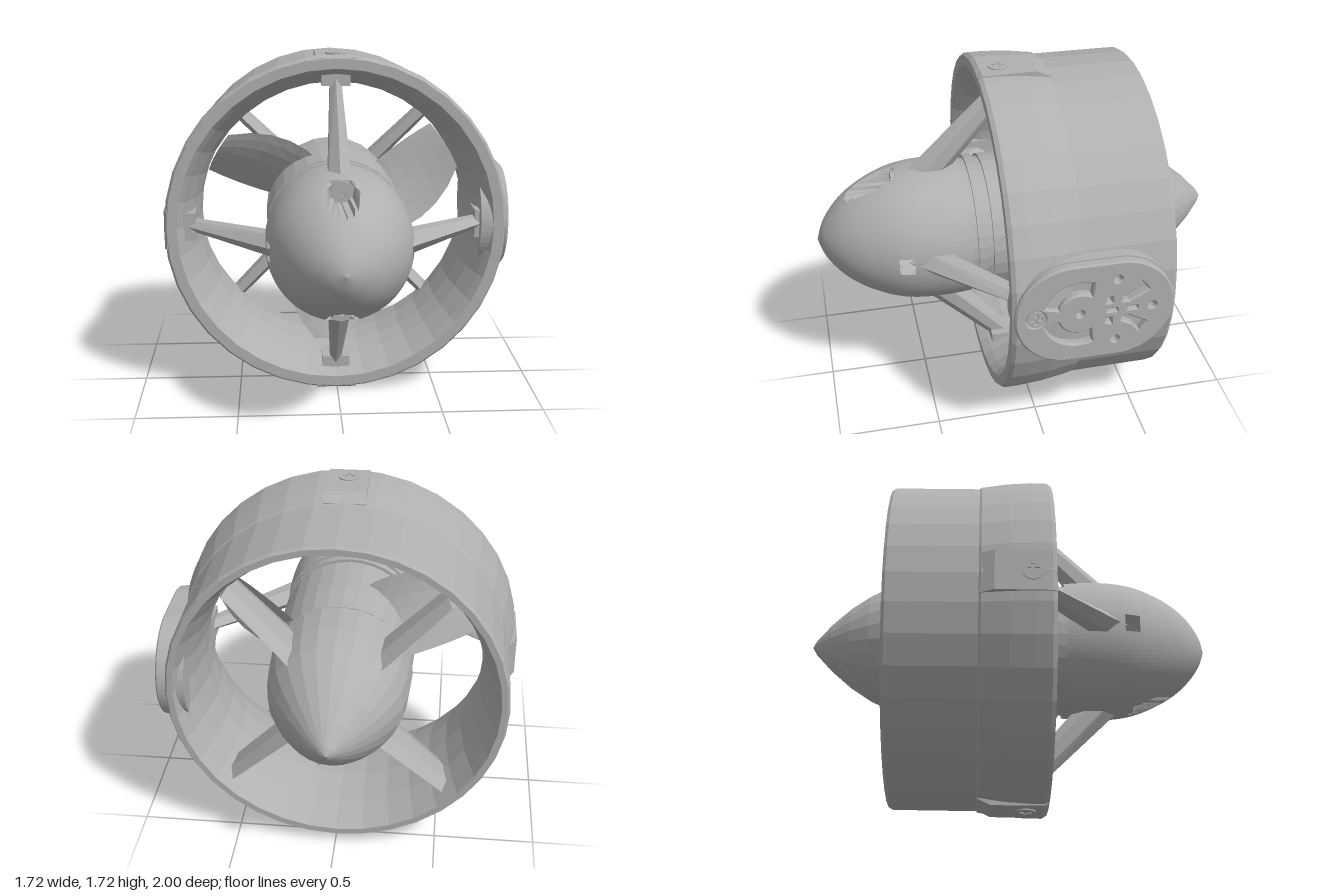
import * as THREE from 'three';
import { ConvexGeometry } from 'three/addons/geometries/ConvexGeometry.js';
import { ParametricGeometry } from 'three/addons/geometries/ParametricGeometry.js';

const V2 = (p) => new THREE.Vector2(p[0], p[1]);
const V3 = (p) => new THREE.Vector3(...p);

export function createModel() {
  const model = new THREE.Group();
  model.name = 'ductedThruster';
  const body = new THREE.Group();
  body.name = 'thrusterBody';
  body.position.set(-0.005, 0.855, 0);
  model.add(body);

  // side: DoubleSide serves the thin blades and the pierced nose shell
  const grey = new THREE.MeshStandardMaterial({ color: 0xb0b0b0, side: THREE.DoubleSide });
  grey.name = 'plainGrey';

  const add = (name, geometry, parent = body) => {
    const g = geometry.index ? geometry.toNonIndexed() : geometry;
    g.computeVertexNormals(); // faceted look
    const mesh = new THREE.Mesh(g, grey);
    mesh.name = name;
    parent.add(mesh);
    return mesh;
  };
  // Revolved profile of [radius, z] points around the z axis
  const spin = (points, sides) =>
    new THREE.LatheGeometry(points.map(V2), sides).rotateX(Math.PI / 2);
  // Group whose +y points outward at the given turn about the axis
  const spoke = (name, angle) => {
    const g = new THREE.Group();
    g.name = name;
    g.rotation.z = angle;
    body.add(g);
    return g;
  };
  const polygon = (points) => new THREE.Path(points.map(V2));
  const circle = (x, y, r) => new THREE.Path().absarc(x, y, r, 0, Math.PI * 2, true);

  // Screw head lying in the xy plane, facing +z
  const screw = (name, parent, r, slot) => {
    const head = new THREE.Group();
    head.name = name;
    const s = new THREE.Shape().absarc(0, 0, r, 0, Math.PI * 2, false);
    s.holes.push(slot);
    add('screwRim', new THREE.ExtrudeGeometry(s, { depth: 0.018, bevelEnabled: false, curveSegments: 10 }), head);
    add('screwBase', new THREE.CylinderGeometry(r, r, 0.02, 20).rotateX(Math.PI / 2), head)
      .position.z = -0.008;
    parent.add(head);
    return head;
  };
  const a = 0.009, b = 0.03;
  const crossSlot = () => polygon([[a, a], [a, b], [-a, b], [-a, a], [-b, a], [-b, -a],
    [-a, -a], [-a, -b], [a, -b], [a, -a], [b, -a], [b, a]]);
  const hexSlot = () => polygon([0, 1, 2, 3, 4, 5].map((i) =>
    [0.025 * Math.cos(-i * Math.PI / 3), 0.025 * Math.sin(-i * Math.PI / 3)]));

  // Duct: flared front band, straight rear band, narrowed throat
  add('duct', spin([[0.775, -0.59], [0.805, -0.59], [0.815, -0.575], [0.818, -0.16], [0.826, -0.15],
    [0.845, -0.02], [0.853, 0.1], [0.853, 0.17], [0.84, 0.19], [0.79, 0.19], [0.765, 0.15],
    [0.72, 0.04], [0.695, -0.08], [0.69, -0.25], [0.715, -0.42], [0.755, -0.54], [0.775, -0.59]], 36));

  // Nose shell with two screw pockets and two side slots
  const nosePath = new THREE.SplineCurve([[0.345, 0.27], [0.353, 0.4], [0.347, 0.54], [0.32, 0.66],
    [0.26, 0.79], [0.185, 0.89], [0.09, 0.965], [0, 1]].map(V2));
  const nose = new THREE.LatheGeometry(nosePath.getPoints(56).map((p) => p.setX(Math.max(p.x, 0))), 96)
    .rotateX(Math.PI / 2);
  const np = nose.attributes.position;
  const kept = [];
  for (let i = 0; i < nose.index.count; i += 3) {
    const tri = [0, 1, 2].map((k) => nose.index.getX(i + k));
    const inSlot = tri.every((v) => Math.abs(np.getY(v)) < 0.047 && np.getZ(v) > 0.545 && np.getZ(v) < 0.635);
    if (!inSlot) kept.push(...tri);
  }
  nose.setIndex(kept);
  for (let i = 0; i < np.count; i++) {
    const x = np.getX(i), dy = Math.abs(np.getY(i)) - 0.285;
    const inPocket = Math.hypot(x, dy) < 0.062 || (dy > 0 && Math.abs(x) < 0.062);
    if (inPocket) np.setZ(i, Math.min(np.getZ(i), 0.6));
  }
  add('noseShell', nose);
  for (const y of [0.285, -0.285])
    screw('noseScrew', body, 0.05, hexSlot()).position.set(0, y, 0.602);

  // Stepped collar, propeller hub and pointed tail
  add('collar', spin([[0, 0.16], [0.33, 0.16], [0.33, 0.2], [0.345, 0.2], [0.345, 0.245],
    [0.33, 0.245], [0.33, 0.275], [0.345, 0.275]], 36));
  add('propellerHub', spin([[0, -0.28], [0.34, -0.28], [0.348, -0.1], [0.345, 0.17], [0, 0.17]], 30));
  add('tailCone', spin([[0, -1], [0.035, -0.98], [0.12, -0.9], [0.205, -0.8], [0.27, -0.7], [0.317, -0.6],
    [0.34, -0.48], [0.35, -0.3], [0.33, -0.29], [0, -0.29]], 24));

  // Three twisted blades, wide at the root
  const rad = Math.PI / 180;
  for (let i = 0; i < 3; i++) {
    const blade = new ParametricGeometry((u, t, out) => {
      const r = 0.3 + 0.385 * t;
      const angle = (31 + 120 * i + THREE.MathUtils.lerp(
        THREE.MathUtils.lerp(-47, -9.5, t), THREE.MathUtils.lerp(16, 10.5, t), u)) * rad;
      const z = -0.15 + (0.5 - u) * THREE.MathUtils.lerp(0.25, 0.15, t) + 0.03 * Math.sin(Math.PI * u);
      out.set(r * Math.cos(angle), r * Math.sin(angle), z);
    }, 6, 5);
    add('propellerBlade', blade);
  }

  // Streamlined section: half width w, from z0 (rear) to z1 (front) at radius r
  const section = (r, w, z0, z1) => {
    const d = (z1 - z0) * 0.3;
    return [[0, r, z1], [0, r, z0], ...[w, -w].flatMap((x) => [[x, r, z1 - d], [x, r, z0 + d]])];
  };
  const hull = (points) => new ConvexGeometry(points.map(V3));

  for (let k = 0; k < 4; k++) {
    // Swept front strut with its clamp block
    const front = spoke('frontStrutGroup', k * Math.PI / 2);
    add('frontStrut', hull([...section(0.3, 0.056, 0.35, 0.58), ...section(0.745, 0.026, -0.02, 0.125)]), front);
    add('strutClamp', new THREE.BoxGeometry(0.14, 0.075, 0.2), front).position.set(0, 0.738, 0.035);
    // Rear stator vane on the diagonal
    const rear = spoke('rearVaneGroup', (k + 0.5) * Math.PI / 2);
    add('rearVane', hull([...section(0.28, 0.036, -0.63, -0.33), ...section(0.735, 0.028, -0.56, -0.32)]), rear);
    // Outer boss and screw, except on the side carrying the mounting plate
    if (k === 3) continue;
    add('ductBoss', hull([-0.1, 0.1].flatMap((x) => [[x, 0.79, 0.185], [x, 0.84, 0.185], [x, 0.852, 0.17],
      [x, 0.852, -0.09], [x, 0.82, -0.155], [x, 0.79, -0.155]])), front);
    const s = screw('bossScrew', front, 0.05, crossSlot());
    s.rotation.x = -Math.PI / 2;
    s.position.set(0, 0.84, 0.08);
  }

  // Mounting plate on the left: rounded outline, local x runs toward the rear
  const plate = new THREE.Group();
  plate.name = 'mountingPlate';
  plate.rotation.y = Math.PI / 2;
  body.add(plate);
  const outline = (r) => new THREE.Shape()
    .absarc(0.08, 0, r, Math.PI / 2, Math.PI * 1.5, false)
    .absarc(0.3, 0, r, -Math.PI / 2, Math.PI / 2, false);
  add('plateBase', new THREE.ExtrudeGeometry(outline(0.268),
    { depth: 0.1, bevelEnabled: false, curveSegments: 14 }), plate).position.z = 0.725;

  const face = outline(0.255);
  for (const m of [1, -1]) {
    const flip = (pts) => polygon(pts.map(([x, y]) => [x, m * y]));
    const arc = (r, from, to) => Array.from({ length: 9 }, (_, i) => {
      const t = (from + (to - from) * i / 8) * rad;
      return [0.12 + r * Math.cos(t), r * Math.sin(t)];
    });
    face.holes.push(flip([...arc(0.18, 165, 68), ...arc(0.1, 55, 165)])); // curved window
    face.holes.push(flip([[0.31, 0.035], [0.35, 0.035], [0.45, 0.09], [0.405, 0.15], [0.365, 0.1], [0.31, 0.07]]));
    face.holes.push(flip([[0.235, 0.035], [0.275, 0.035], [0.275, 0.085], [0.235, 0.07]]));
    face.holes.push(circle(0.29, m * 0.17, 0.025));
  }
  for (const x of [0.24, 0.335])
    face.holes.push(polygon([[x, 0.015], [x + 0.06, 0.015], [x + 0.06, -0.015], [x, -0.015]]));
  face.holes.push(circle(0.12, 0, 0.025), circle(0.46, 0, 0.025), circle(-0.085, 0, 0.052));
  add('plateFace', new THREE.ExtrudeGeometry(face, { depth: 0.03, bevelThickness: 0.008, bevelSize: 0.008,
    bevelSegments: 1, curveSegments: 14 }), plate).position.z = 0.826;
  screw('plateScrew', plate, 0.044, crossSlot()).position.set(-0.085, 0, 0.845);

  return model;
}
